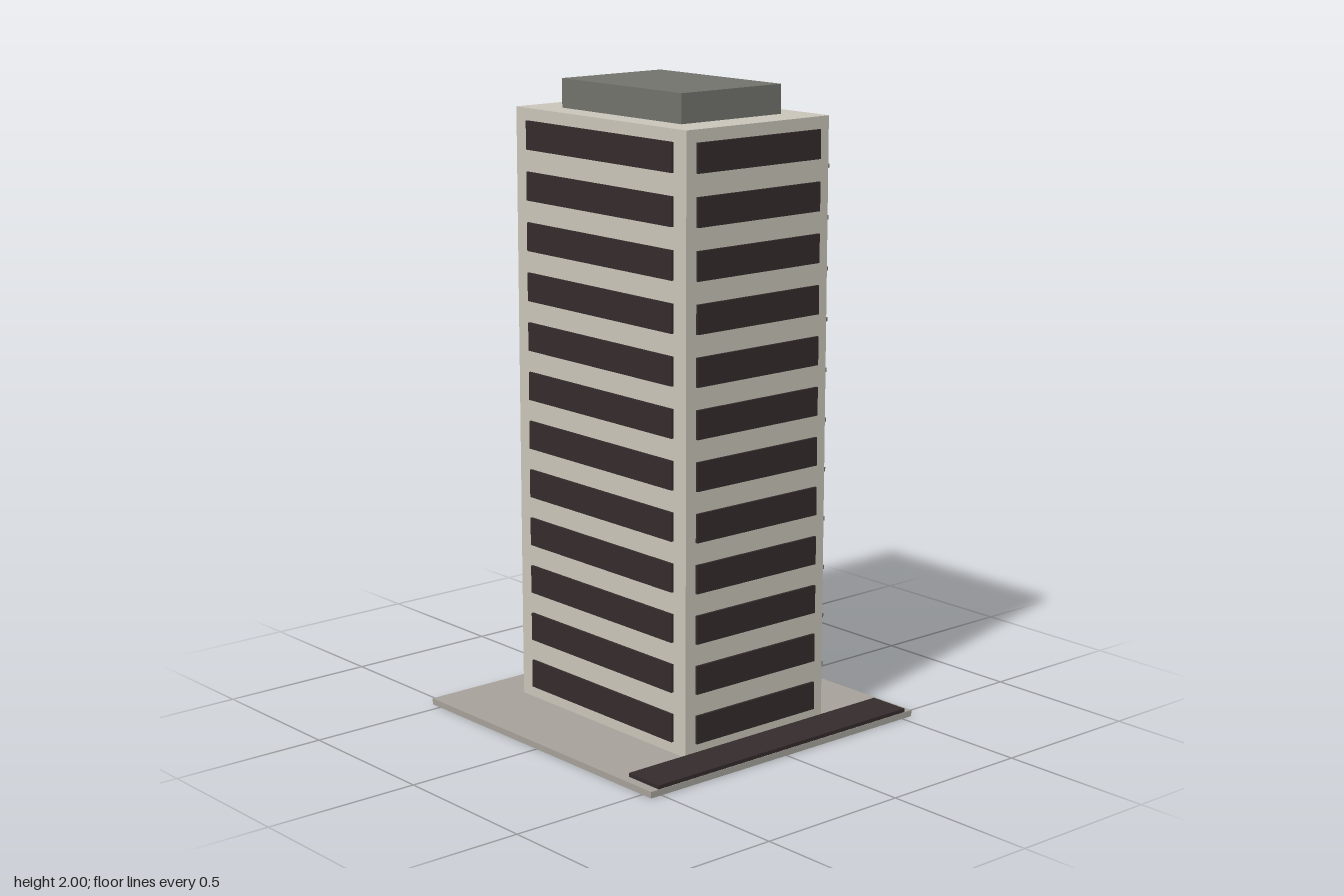
import * as THREE from 'three';

const material = (name, color) => {
  const m = new THREE.MeshStandardMaterial({ color });
  m.name = name;
  return m;
};

export function createModel() {
  const model = new THREE.Group();
  model.name = 'towerBlock';

  const concrete = material('pale concrete', 0xcac5b9);
  const paving = material('paving', 0xa6a29a);
  const grey = material('dark grey', 0x73736d);
  const glass = material('dark glass', 0x352b2d);

  // Box given by its size, its bottom height and its centre in plan
  const box = (name, mat, w, h, d, x, bottom, z, parent = model) => {
    const mesh = new THREE.Mesh(new THREE.BoxGeometry(w, h, d), mat);
    mesh.name = name;
    mesh.position.set(x, bottom + h / 2, z);
    parent.add(mesh);
    return mesh;
  };

  const halfW = 0.282, halfD = 0.396;
  const floors = 12, pitch = 0.157;

  // Ground slab, front strip, tower and rooftop plant room
  box('groundSlab', paving, 1.08, 0.02, 1.08, 0, 0, 0);
  box('frontStrip', glass, 1.02, 0.012, 0.135, 0, 0.02, 0.471);
  box('tower', concrete, halfW * 2, 1.89, halfD * 2, 0, 0.02, 0);
  box('roofHouse', grey, 0.394, 0.09, 0.554, 0, 1.91, 0);

  const windows = new THREE.Group();
  windows.name = 'windowBands';
  const ledges = new THREE.Group();
  ledges.name = 'balconyLedges';
  model.add(windows, ledges);

  for (let i = 0; i < floors; i++) {
    const y = 0.056 + i * pitch;
    // Window bands on all four faces
    for (const s of [-1, 1]) {
      box('endWindow', glass, 0.486, 0.089, 0.008, 0, y, s * (halfD + 0.004), windows);
      box('sideWindow', glass, 0.008, 0.089, 0.68, s * (halfW + 0.004), y, 0, windows);
    }
    // Ledge between floors on the left side only
    if (i < floors - 1) {
      box('ledge', grey, 0.028, 0.013, 0.746, halfW + 0.013, 0.178 + i * pitch, 0, ledges);
    }
  }
  return model;
}
